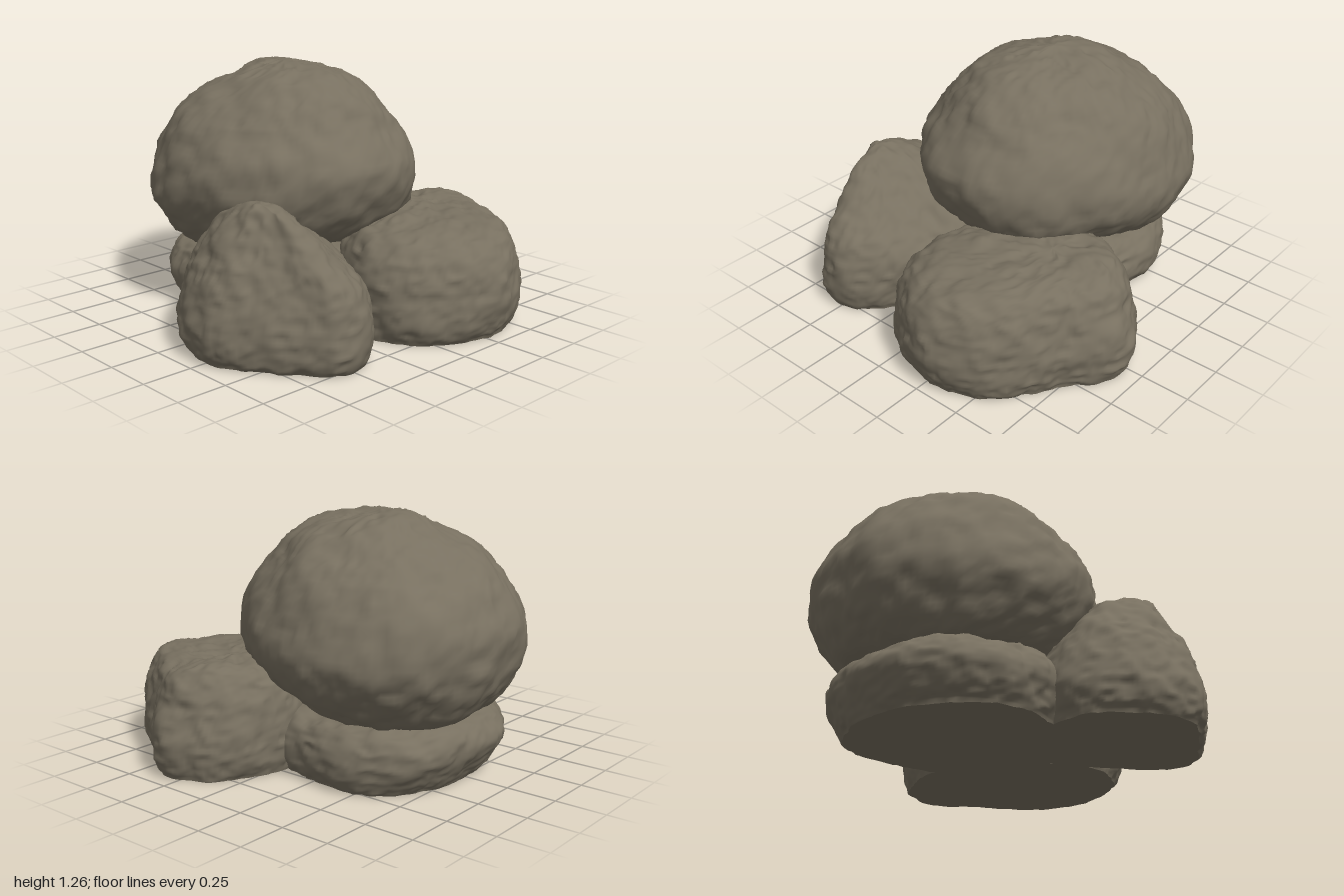
import * as THREE from 'three';

const AROUND = 144, UP = 64;

// Smooth seeded value noise
const hash = (x, y, z) => {
  const s = Math.sin(x * 127.1 + y * 311.7 + z * 74.7) * 43758.5453;
  return s - Math.floor(s);
};
function noise(x, y, z) {
  const ix = Math.floor(x), iy = Math.floor(y), iz = Math.floor(z);
  const ease = t => t * t * (3 - 2 * t);
  const u = ease(x - ix), v = ease(y - iy), w = ease(z - iz);
  let sum = 0;
  for (let i = 0; i < 8; i++) {
    const a = i & 1, b = (i >> 1) & 1, c = i >> 2;
    sum += hash(ix + a, iy + b, iz + c) * (a ? u : 1 - u) * (b ? v : 1 - v) * (c ? w : 1 - w);
  }
  return sum * 2 - 1;
}
const roughness = p =>
  0.014 * noise(p.x * 5 + 9, p.y * 5, p.z * 5) +
  0.012 * noise(p.x * 11, p.y * 11 + 5, p.z * 11) +
  0.008 * (0.5 - Math.abs(noise(p.x * 17, p.y * 17, p.z * 17 + 3)) * 2) +
  0.005 * noise(p.x * 34, p.y * 34, p.z * 34);

// Plan outline [x, z] resized to fit each layer [y, x0, x1, z0, z1]
function rock(name, outline, layers, material) {
  const plan = new THREE.CatmullRomCurve3(
    outline.map(([x, z]) => new THREE.Vector3(x, 0, z)), true);
  const ring = Array.from({ length: AROUND }, (_, i) => plan.getPointAt(i / AROUND));
  const box = new THREE.Box3().setFromPoints(ring), size = box.getSize(new THREE.Vector3());
  const spline = (a, b) => new THREE.CatmullRomCurve3(
    layers.map(l => new THREE.Vector3(l[0], l[a], l[b])), false, 'catmullrom');
  const xs = spline(1, 2), zs = spline(3, 4);

  const pos = [], index = [];
  for (let j = 0; j <= UP; j++) {
    const a = xs.getPoint(j / UP), b = zs.getPoint(j / UP);
    for (const p of ring) {
      pos.push(
        THREE.MathUtils.lerp(a.y, a.z, (p.x - box.min.x) / size.x), a.x,
        THREE.MathUtils.lerp(b.y, b.z, (p.z - box.min.z) / size.z));
    }
  }
  for (let j = 0; j < UP; j++) {
    for (let i = 0; i < AROUND; i++) {
      const a = j * AROUND + i, c = j * AROUND + (i + 1) % AROUND;
      index.push(a, a + AROUND, c, c, a + AROUND, c + AROUND);
    }
  }
  // Close both ends with small fans
  const middle = l => [(l[1] + l[2]) / 2, l[0], (l[3] + l[4]) / 2];
  const topRow = UP * AROUND, tip = pos.length / 3, last = layers[layers.length - 1];
  pos.push(...middle(last));
  for (let i = 0; i < AROUND; i++) index.push(topRow + i, tip, topRow + (i + 1) % AROUND);
  const grounded = layers[0][0] === 0;
  if (!grounded) {
    pos.push(...middle(layers[0]));
    for (let i = 0; i < AROUND; i++) index.push(i, (i + 1) % AROUND, tip + 1);
  }

  // Weather the surface along its normals
  const geo = new THREE.BufferGeometry();
  geo.setAttribute('position', new THREE.Float32BufferAttribute(pos, 3));
  geo.setIndex(index);
  geo.computeVertexNormals();
  const P = geo.attributes.position, N = geo.attributes.normal;
  const p = new THREE.Vector3(), n = new THREE.Vector3();
  for (let i = 0; i < P.count; i++) {
    p.fromBufferAttribute(P, i);
    n.fromBufferAttribute(N, i);
    p.addScaledVector(n, roughness(p));
    if (grounded) p.y = i < AROUND ? 0 : Math.max(0, p.y);
    P.setXYZ(i, p.x, p.y, p.z);
  }
  geo.computeVertexNormals();

  const group = new THREE.Group();
  group.name = name;
  const body = new THREE.Mesh(geo, material);
  body.name = name + 'Surface';
  group.add(body);

  // Flat underside
  if (grounded) {
    const shape = new THREE.Shape(Array.from({ length: AROUND }, (_, i) =>
      new THREE.Vector2(P.getX(i), P.getZ(i))));
    const base = new THREE.Mesh(new THREE.ShapeGeometry(shape).rotateX(Math.PI / 2), material);
    base.name = name + 'Underside';
    group.add(base);
  }
  return group;
}

export function createModel() {
  const stone = new THREE.MeshStandardMaterial({ color: 0x787060 });
  stone.name = 'stone';
  const model = new THREE.Group();
  model.name = 'rockPile';

  // Large rounded boulder resting on the others
  model.add(rock('topBoulder',
    [[0.72, -0.3], [0.66, -0.05], [0.52, 0.19], [0.35, 0.38], [0.12, 0.46], [-0.17, 0.42],
      [-0.43, 0.23], [-0.59, -0.03], [-0.64, -0.3], [-0.6, -0.55], [-0.43, -0.79],
      [-0.2, -0.95], [0.05, -1], [0.3, -0.96], [0.52, -0.84], [0.67, -0.6]],
    [[0.265, 0.03, 0.05, -0.46, -0.44], [0.28, -0.24, 0.3, -0.68, -0.2],
      [0.33, -0.44, 0.5, -0.82, 0.02], [0.45, -0.57, 0.64, -0.93, 0.3],
      [0.6, -0.64, 0.715, -0.99, 0.425], [0.78, -0.625, 0.69, -0.98, 0.455],
      [0.95, -0.545, 0.61, -0.885, 0.34], [1.07, -0.435, 0.5, -0.76, 0.25],
      [1.17, -0.3, 0.36, -0.58, 0.12], [1.225, -0.16, 0.2, -0.45, -0.02],
      [1.245, 0.02, 0.04, -0.28, -0.26]], stone));

  // Broad flat-topped rock in front
  model.add(rock('frontSlab',
    [[0.95, 0.33], [0.79, 0.58], [0.63, 0.82], [0.5, 0.94], [0.3, 1], [0.05, 0.9],
      [-0.12, 0.75], [-0.18, 0.58], [-0.15, 0.4], [0.02, 0.16], [0.3, -0.03], [0.57, -0.07],
      [0.78, 0.04], [0.9, 0.16]],
    [[0, -0.17, 0.92, -0.04, 0.94], [0.08, -0.19, 0.95, -0.06, 0.98],
      [0.2, -0.18, 0.95, -0.07, 0.99], [0.33, -0.16, 0.91, -0.06, 0.975],
      [0.43, -0.09, 0.87, -0.03, 0.92], [0.49, 0.02, 0.82, 0.02, 0.83],
      [0.525, 0.2, 0.74, 0.1, 0.58], [0.535, 0.48, 0.5, 0.29, 0.31]], stone));

  // Peaked rock at the side
  model.add(rock('sidePeak',
    [[-0.02, 0.25], [-0.12, 0.43], [-0.21, 0.58], [-0.35, 0.75], [-0.5, 0.82], [-0.62, 0.8],
      [-0.72, 0.67], [-0.85, 0.5], [-0.97, 0.33], [-0.93, 0.08], [-0.8, -0.1], [-0.64, -0.2],
      [-0.38, -0.16], [-0.12, 0.02]],
    [[0, -0.92, -0.06, -0.15, 0.77], [0.06, -0.955, -0.04, -0.18, 0.81],
      [0.16, -0.965, -0.03, -0.2, 0.82], [0.28, -0.935, -0.05, -0.18, 0.8],
      [0.38, -0.895, -0.13, -0.14, 0.75], [0.48, -0.84, -0.27, -0.08, 0.67],
      [0.6, -0.77, -0.42, 0.03, 0.56], [0.68, -0.71, -0.54, 0.17, 0.46],
      [0.71, -0.66, -0.64, 0.33, 0.35]], stone));

  // Low rock supporting the boulder at the back
  model.add(rock('backSupport',
    [[0.56, -0.4], [0.5, -0.08], [0.35, 0.15], [0.12, 0.34], [-0.15, 0.28], [-0.42, 0.02],
      [-0.56, -0.35], [-0.47, -0.64], [-0.22, -0.83], [0.08, -0.87], [0.36, -0.8],
      [0.52, -0.62]],
    [[0, -0.5, 0.52, -0.77, 0.3], [0.07, -0.54, 0.56, -0.82, 0.33],
      [0.18, -0.56, 0.57, -0.87, 0.35], [0.26, -0.53, 0.52, -0.84, 0.32],
      [0.31, -0.46, 0.4, -0.76, 0.22], [0.33, -0.25, 0.2, -0.58, 0],
      [0.34, -0.03, -0.01, -0.3, -0.28]], stone));

  return model;
}
